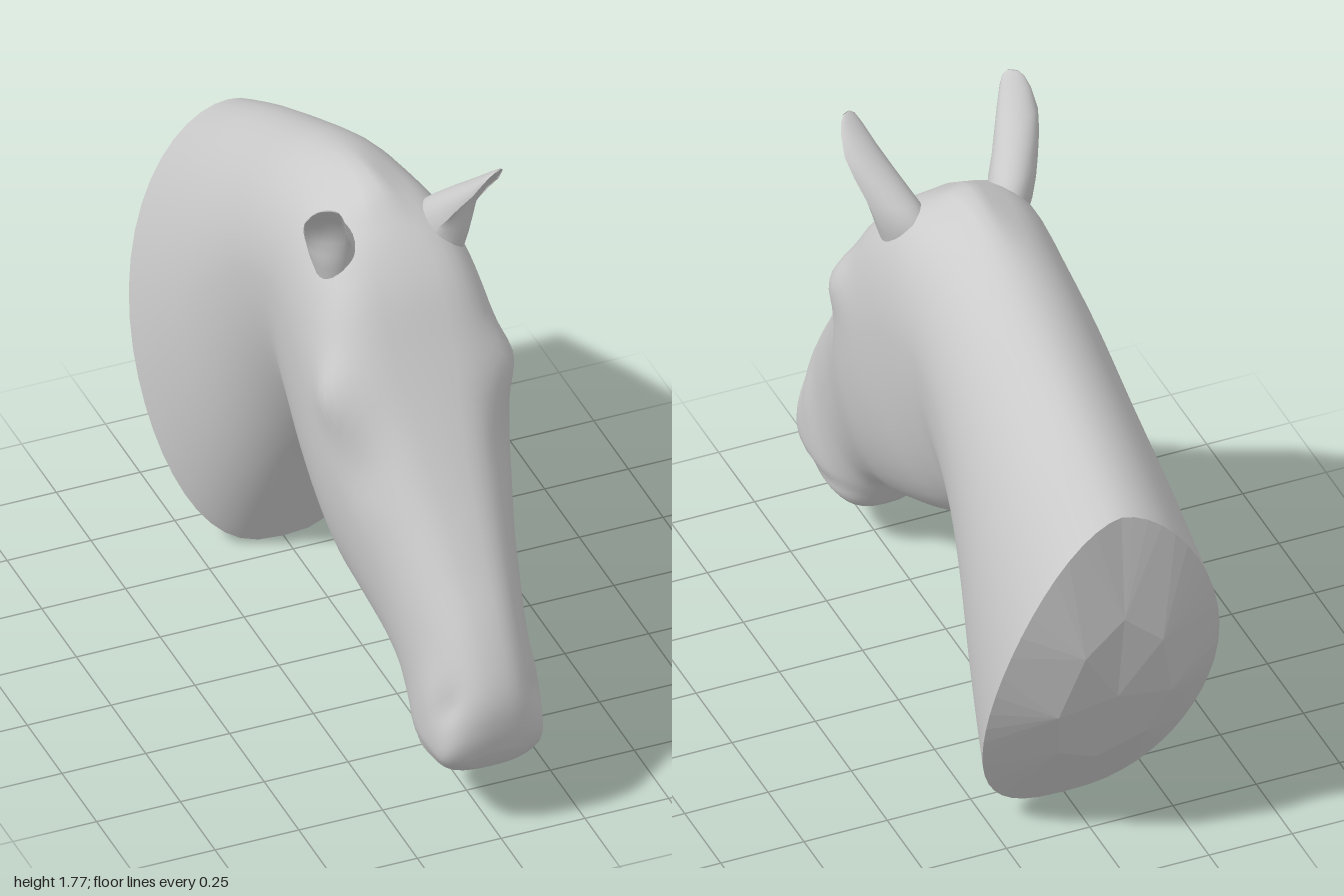
import * as THREE from 'three';

const SEG = 48;   // points around the body
const SUB = 4;    // rings between two stations

// Stations from the neck cut to the muzzle:
// top z, top y, bottom z, bottom y, half width, height of widest point (0 top..1 bottom),
// roundness above, roundness below (small = square, large = pointed)
const NECK = [
  [-0.97, 1.21, -0.57, 0.00, 0.338, 0.53, 1.08, 0.74],
  [-0.75, 1.33, -0.46, 0.22, 0.312, 0.51, 1.06, 0.80],
  [-0.50, 1.45, -0.36, 0.42, 0.277, 0.46, 1.04, 0.92],
  [-0.27, 1.55, -0.28, 0.54, 0.255, 0.40, 1.02, 1.15],
  [-0.05, 1.61, -0.20, 0.61, 0.247, 0.38, 1.00, 1.45],
  [0.10, 1.62, -0.11, 0.64, 0.256, 0.40, 0.85, 0.98],
];
const HEAD = [
  [0.20, 1.565, 0.00, 0.58, 0.265, 0.38, 0.65, 0.80],
  [0.28, 1.50, 0.10, 0.525, 0.274, 0.38, 0.57, 0.80],
  [0.36, 1.41, 0.20, 0.475, 0.280, 0.37, 0.56, 0.82],
  [0.45, 1.27, 0.30, 0.425, 0.273, 0.37, 0.58, 0.86],
  [0.55, 1.12, 0.40, 0.38, 0.240, 0.40, 0.64, 0.88],
  [0.67, 0.95, 0.50, 0.33, 0.202, 0.42, 0.70, 0.85],
  [0.80, 0.78, 0.57, 0.285, 0.178, 0.45, 0.76, 0.80],
  [0.90, 0.65, 0.62, 0.21, 0.167, 0.50, 0.80, 0.75],
  [0.97, 0.53, 0.68, 0.14, 0.167, 0.54, 0.84, 0.70],
  [1.00, 0.44, 0.79, 0.15, 0.162, 0.54, 0.90, 0.70],
  [1.00, 0.35, 0.89, 0.175, 0.140, 0.52, 0.90, 0.72],
  [0.985, 0.28, 0.95, 0.215, 0.075, 0.50, 0.85, 0.80],
];
const STATIONS = [...NECK, ...HEAD];

// Smooth interpolation through the stations
function station(u) {
  const n = STATIONS.length - 1;
  const i = Math.min(Math.floor(u), n - 1), t = u - i;
  const [a, b, c, d] = [-1, 0, 1, 2].map(k => STATIONS[Math.min(n, Math.max(0, i + k))]);
  return b.map((p, k) => {
    const m0 = (c[k] - a[k]) / 2, m1 = (d[k] - p) / 2;
    return p + m0 * t + (3 * (c[k] - p) - 2 * m0 - m1) * t * t + (2 * (p - c[k]) + m0 + m1) * t * t * t;
  });
}

// Soft bump: 1 at its centre, fading with distance in z and y
const bump = (z, y, cz, cy, rz, ry) => Math.exp(-(((z - cz) / rz) ** 2) - ((y - cy) / ry) ** 2);

function bodyRing(u) {
  const [tz, ty, bz, by, w, m, pT, pB] = station(u);
  const bow = 0.09 * Math.max(0, 1 - u / 4);
  const ring = [];
  for (let i = 0; i < SEG; i++) {
    const a = (i / SEG) * Math.PI * 2, c = Math.cos(a), s = Math.sin(a);
    const t = c > 0 ? m * (1 - c) : m - (1 - m) * c;
    const b = bow * Math.sin(Math.PI * Math.min(1, t) ** 0.75);
    const z = tz + (bz - tz) * t - 0.95 * b;
    let y = ty + (by - ty) * t - 0.31 * b;
    let x = w * Math.abs(s) ** (c > 0 ? pT : pB);
    // brow and eye, cheek hollow, nostril, mouth line
    const side = Math.min(1, Math.abs(s) * 1.5);
    x += side * (0.040 * bump(z, y, 0.42, 1.18, 0.08, 0.09)
      - 0.012 * bump(z, y, 0.52, 0.98, 0.08, 0.08)
      - 0.014 * bump(z, y, 0.93, 0.43, 0.03, 0.05)
      + 0.008 * bump(z, y, 0.87, 0.43, 0.06, 0.09)
      - 0.010 * bump(z, y, 0.78, 0.225, 0.13, 0.018));
    // mane crest standing above the poll
    if (c > 0) y -= 0.03 * c ** 4 * (1 - Math.exp(-((x / 0.05) ** 2))) * bump(tz, 0, 0.08, 0, 0.16, 1);
    ring.push(new THREE.Vector3(Math.abs(s) < 1e-6 ? 0 : Math.sign(s) * x, y, z));
  }
  return ring;
}

// Skin a list of closed rings and close the last one with a fan
function loft(rings) {
  const n = rings[0].length, pts = rings.flat(), idx = [];
  for (let r = 0; r < rings.length - 1; r++) {
    for (let i = 0; i < n; i++) {
      const j = (i + 1) % n, a = r * n + i, b = r * n + j, c = a + n, d = b + n;
      idx.push(a, c, b, c, d, b);
    }
  }
  const last = rings[rings.length - 1], base = (rings.length - 1) * n;
  const mid = last.reduce((v, p) => v.add(p), new THREE.Vector3()).divideScalar(n);
  pts.push(mid);
  for (let i = 0; i < n; i++) idx.push(pts.length - 1, base + (i + 1) % n, base + i);
  const g = new THREE.BufferGeometry().setFromPoints(pts);
  g.setIndex(idx);
  g.computeVertexNormals();
  return g;
}

// Bulging faceted face that closes the neck
function neckCap(rim) {
  const n = rim.length, step = 6;
  const centre = new THREE.Vector3(0, 0.58, -0.945);
  const inner = rim.map((p, i) => {
    const q = rim[(Math.round(i / step) * step) % n].clone().lerp(centre, 0.5);
    return q.add(new THREE.Vector3(0, -0.02, -0.035));
  });
  const tris = [];
  for (let i = 0; i < n; i++) {
    const j = (i + 1) % n;
    tris.push(rim[i], rim[j], inner[i]);
    if (inner[i].distanceTo(inner[j]) > 1e-6) {
      tris.push(inner[i], rim[j], inner[j], centre, inner[i], inner[j]);
    }
  }
  const g = new THREE.BufferGeometry().setFromPoints(tris);
  g.computeVertexNormals();
  return g;
}

// Ear rings from base to tip: x, y, z, half width, half depth, hollow of the front
const EAR = [
  [0.145, 1.40, 0.18, 0.055, 0.090, -0.8],
  [0.165, 1.48, 0.19, 0.064, 0.115, -0.6],
  [0.182, 1.53, 0.21, 0.066, 0.122, -0.4],
  [0.200, 1.57, 0.235, 0.064, 0.110, -0.1],
  [0.223, 1.63, 0.273, 0.062, 0.080, 0.25],
  [0.240, 1.68, 0.308, 0.057, 0.055, 0.35],
  [0.247, 1.73, 0.340, 0.043, 0.028, 0.25],
  [0.249, 1.755, 0.357, 0.030, 0.014, 0.1],
  [0.250, 1.766, 0.363, 0.015, 0.006, -0.5],
];

function earGeometry(side) {
  const n = 24, turn = 0.5;
  const rings = EAR.map(([cx, cy, cz, rx, rz, cup]) => Array.from({ length: n }, (_, i) => {
    const a = side * (i / n) * Math.PI * 2;
    const px = rx * Math.cos(a), s = Math.sin(a);
    const pz = rz * (s > 0 ? -cup * s : s);
    // turn the opening outwards
    const x = cx + px * Math.cos(turn) + pz * Math.sin(turn);
    const z = cz - px * Math.sin(turn) + pz * Math.cos(turn);
    return new THREE.Vector3(side * x, cy, z);
  }));
  return loft(rings);
}

export function createModel() {
  const group = new THREE.Group();
  group.name = 'horseHead';
  const smooth = new THREE.MeshStandardMaterial({ color: 0xcccccc });
  const faceted = new THREE.MeshStandardMaterial({ color: 0xcccccc, flatShading: true });
  const add = (name, geometry, material) => {
    const mesh = new THREE.Mesh(geometry, material);
    mesh.name = name;
    group.add(mesh);
  };

  const rings = [];
  for (let k = 0; k <= (STATIONS.length - 1) * SUB; k++) rings.push(bodyRing(k / SUB));
  add('headAndNeck', loft(rings), smooth);
  add('neckCut', neckCap(rings[0]), faceted);
  add('leftEar', earGeometry(1), smooth);
  add('rightEar', earGeometry(-1), smooth);
  return group;
}
